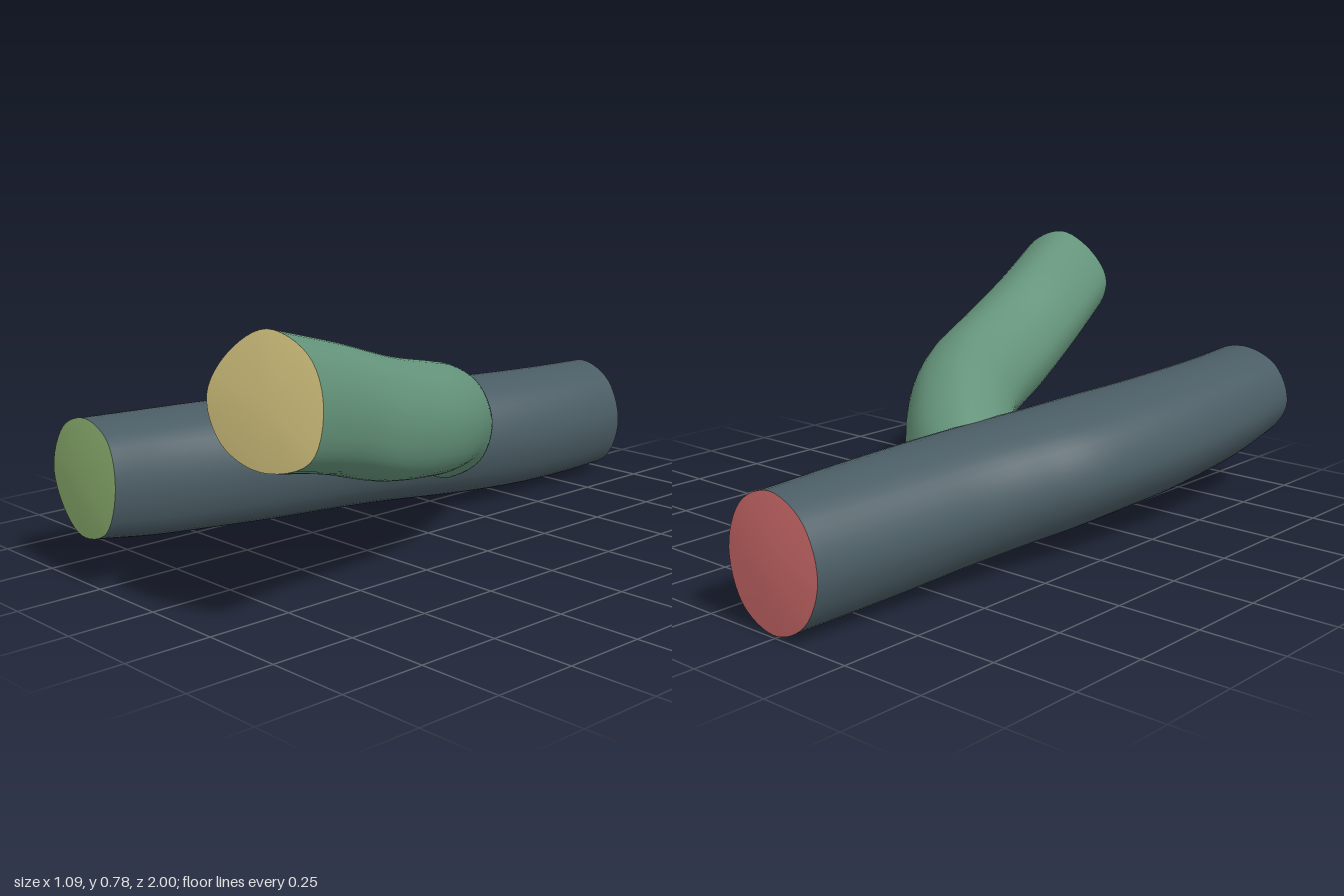
import * as THREE from 'three';

const SIDES = 48;
const V = (x, y, z) => new THREE.Vector3(x, y, z);

// Smooth closed outline from eight radii, counterclockwise from the right
function outline(radii) {
  const pts = radii.map((r, i) => {
    const a = (i / radii.length) * Math.PI * 2;
    return V(Math.cos(a) * r, Math.sin(a) * r, 0);
  });
  const curve = new THREE.CatmullRomCurve3(pts, true);
  return Array.from({ length: SIDES }, (_, i) => curve.getPoint(i / SIDES));
}

// Smooth the control rings lengthwise
function refine(rings, steps) {
  const lines = rings[0].map((_, j) => new THREE.CatmullRomCurve3(rings.map((r) => r[j])));
  return Array.from({ length: steps + 1 }, (_, i) => lines.map((l) => l.getPoint(i / steps)));
}

const ringCentre = (ring) =>
  ring.reduce((s, p) => s.add(p), V(0, 0, 0)).divideScalar(ring.length);

function meshFrom(points, index, color, name) {
  const geo = new THREE.BufferGeometry().setFromPoints(points);
  geo.setIndex(index);
  geo.computeVertexNormals();
  const mat = new THREE.MeshStandardMaterial({ color, side: THREE.DoubleSide });
  const mesh = new THREE.Mesh(geo, mat);
  mesh.name = name;
  return mesh;
}

// Tube wall through consecutive rings
function wall(rings, color, name) {
  const index = [];
  for (let i = 0; i < rings.length - 1; i++) {
    for (let j = 0; j < SIDES; j++) {
      const a = i * SIDES + j;
      const b = i * SIDES + ((j + 1) % SIDES);
      index.push(a, b, a + SIDES, b, b + SIDES, a + SIDES);
    }
  }
  return meshFrom(rings.flat(), index, color, name);
}

// Slightly domed end cap; out is the direction it faces
function cap(ring, out, color, name) {
  const c = ringCentre(ring);
  const points = [];
  const scales = [1, 0.92, 0.75, 0.5, 0.25];
  for (const s of scales) {
    for (const p of ring) {
      points.push(p.clone().lerp(c, 1 - s).addScaledVector(out, 0.012 * (1 - s * s)));
    }
  }
  points.push(c.clone().addScaledVector(out, 0.012));
  const flip = out.z < 0;
  const index = [];
  const tri = (a, b, d) => (flip ? index.push(a, d, b) : index.push(a, b, d));
  for (let k = 0; k < scales.length; k++) {
    for (let j = 0; j < SIDES; j++) {
      const a = k * SIDES + j;
      const b = k * SIDES + ((j + 1) % SIDES);
      if (k === scales.length - 1) tri(a, b, points.length - 1);
      else {
        tri(a, b, a + SIDES);
        tri(b, b + SIDES, a + SIDES);
      }
    }
  }
  return meshFrom(points, index, color, name);
}

function mainTube() {
  const group = new THREE.Group();
  group.name = 'mainTube';
  // z, left and right x, bottom and top y
  const sections = [
    [-0.99, -0.41, -0.06, 0.0, 0.375],
    [-0.8, -0.42, -0.045, 0.0, 0.38],
    [-0.6, -0.432, -0.04, 0.004, 0.387],
    [-0.4, -0.45, -0.045, 0.015, 0.395],
    [-0.2, -0.485, -0.06, 0.03, 0.405],
    [0.0, -0.525, -0.085, 0.045, 0.415],
    [0.2, -0.54, -0.11, 0.056, 0.425],
    [0.4, -0.545, -0.135, 0.065, 0.432],
    [0.6, -0.54, -0.155, 0.08, 0.44],
    [0.8, -0.53, -0.165, 0.1, 0.447],
    [0.98, -0.515, -0.165, 0.13, 0.455],
  ];
  const back = outline([1, 1, 1, 1, 1, 0.98, 1, 1.02]);
  const front = outline([1, 1.03, 1, 1.03, 1, 0.9, 1, 1.09]);
  const control = sections.map(([z, x0, x1, y0, y1], i) => {
    const t = i / (sections.length - 1);
    return back.map((p, j) => {
      const q = p.clone().lerp(front[j], t);
      // end faces lean a little
      const lean = t * (0.012 * q.x - 0.014 * q.y) + (1 - t) * 0.008 * q.x;
      return V((x0 + x1) / 2 + (q.x * (x1 - x0)) / 2, (y0 + y1) / 2 + (q.y * (y1 - y0)) / 2, z + lean);
    });
  });
  const rings = refine(control, 60);
  group.add(
    wall(rings, 0x4a5c64, 'mainTubeWall'),
    cap(rings[0], V(0, 0, -1), 0xd97070, 'mainTubeBackCap'),
    cap(rings[60], V(0.08, 0.1, 1).normalize(), 0x90b472, 'mainTubeFrontCap'),
  );
  return group;
}

function branchTube() {
  const group = new THREE.Group();
  group.name = 'branchTube';
  const centres = [
    V(-0.26, 0.21, -0.24), V(-0.13, 0.275, -0.18), V(0.015, 0.36, -0.025), V(0.115, 0.4, 0.14),
    V(0.205, 0.455, 0.39), V(0.28, 0.535, 0.645), V(0.385, 0.61, 0.92),
  ];
  const radii = [0.14, 0.155, 0.16, 0.165, 0.168, 0.166, 0.168];
  const start = outline([1, 1, 1, 1, 1, 1, 1, 1]);
  const end = outline([0.98, 0.99, 1.02, 0.9, 0.97, 0.98, 1.03, 1.14]);
  const path = new THREE.CatmullRomCurve3(centres);
  const last = centres.length - 1;
  let tangent;
  const control = centres.map((c, i) => {
    tangent = path.getTangent(i / last);
    if (i === last) tangent.set(0.33, 0.12, 0.94).normalize();
    const side = V(0, 1, 0).cross(tangent).normalize();
    const up = tangent.clone().cross(side);
    return start.map((p, j) => {
      const q = p.clone().lerp(end[j], i / last).multiplyScalar(radii[i]);
      return c.clone().addScaledVector(side, q.x).addScaledVector(up, q.y);
    });
  });
  const rings = refine(control, 60);
  group.add(
    wall(rings, 0x64937a, 'branchTubeWall'),
    cap(rings[60], tangent, 0xd0c07c, 'branchTubeCap'),
  );
  return group;
}

export function createModel() {
  const model = new THREE.Group();
  model.name = 'branchingTubes';
  model.add(mainTube(), branchTube());
  return model;
}
